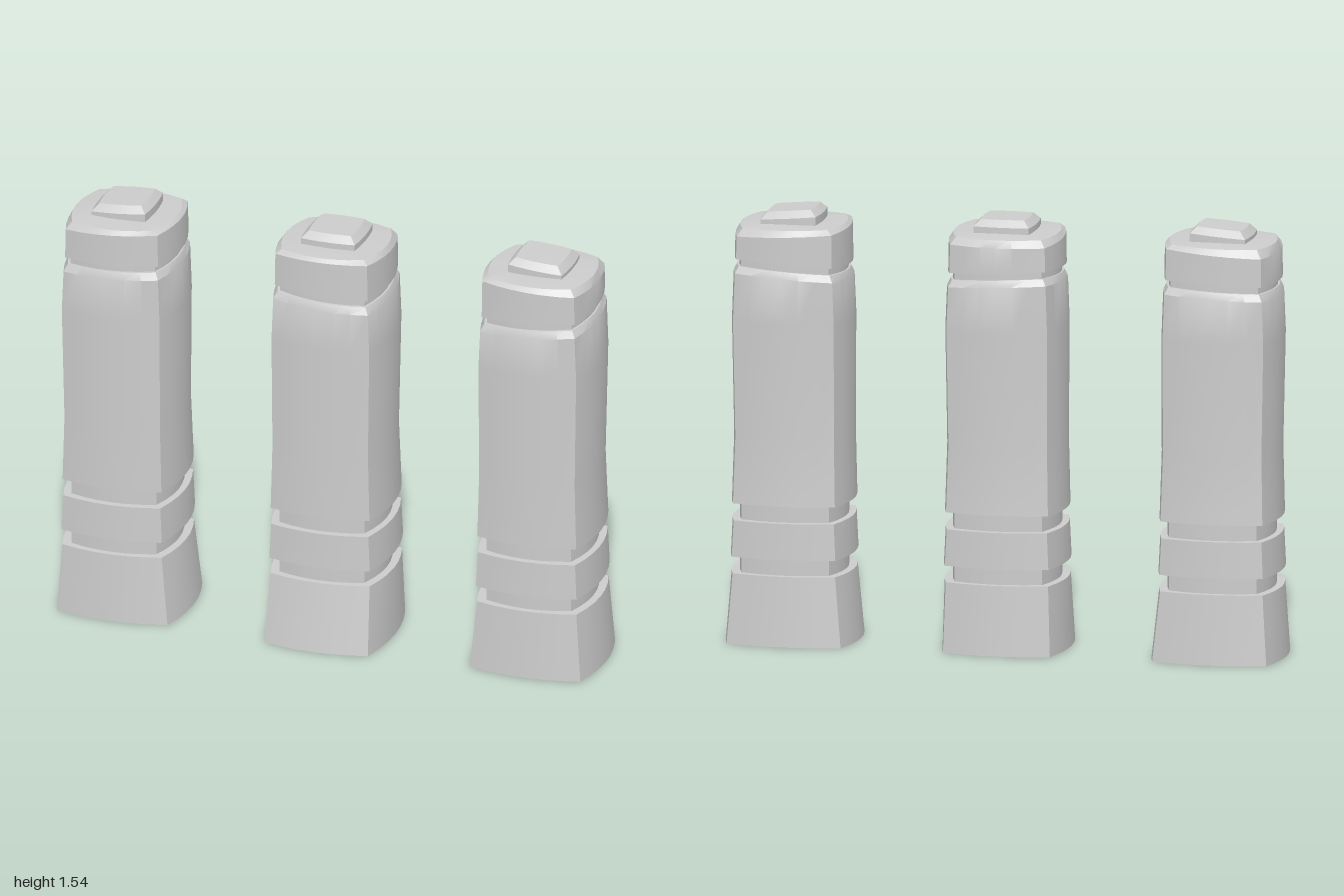
import * as THREE from 'three';
import { toCreasedNormals } from 'three/addons/utils/BufferGeometryUtils.js';

const stone = new THREE.MeshStandardMaterial({ color: 0xcccccc });
stone.name = 'grey stone';
const SEG = 6;
const BOW = 0.03;

// Ring of points: a square with half sizes w and d whose sides bow outwards, tilted by slopes in x and z
function section(y, cx, cz, w, d, bow = BOW, [slopeX, slopeZ] = [0, 0]) {
  const pts = [];
  for (let side = 0; side < 4; side++) {
    for (let i = 0; i < SEG; i++) {
      const t = 2 * i / SEG - 1, out = bow * (1 - t * t);
      const u = side % 2 ? -t * (w - bow) : w - bow + out;
      const v = side % 2 ? d - bow + out : t * (d - bow);
      const flip = side < 2 ? 1 : -1;
      const x = flip * u, z = flip * v;
      pts.push(new THREE.Vector3(cx + x, y + slopeX * x + slopeZ * z, cz + z));
    }
  }
  return pts;
}

// Closed solid through a stack of sections
function loft(name, rings) {
  const n = rings[0].length, points = rings.flat(), idx = [];
  for (let r = 0; r < rings.length - 1; r++) {
    for (let i = 0; i < n; i++) {
      const a = r * n + i, b = r * n + (i + 1) % n;
      idx.push(a, a + n, b, b, a + n, b + n);
    }
  }
  const last = (rings.length - 1) * n;
  for (let i = 1; i < n - 1; i++) {
    idx.push(0, i, i + 1, last, last + i + 1, last + i);
  }
  const g = new THREE.BufferGeometry().setFromPoints(points);
  g.setIndex(idx);
  const mesh = new THREE.Mesh(toCreasedNormals(g, 0.45), stone);
  mesh.name = name;
  return mesh;
}

// x: centre, lean: drift of the upper half, foot: foot half width, front: forward push of the foot,
// neck, rim and knob: slopes of the hewn edges in x and z
const pillars = [
  { name: 'rightPillar', x: -0.765, lean: -0.01, foot: 0.235, front: 0, neck: [0.04, 0], rim: [0.07, 0.02], knob: [0.08, 0] },
  { name: 'middlePillar', x: 0, lean: 0.002, foot: 0.222, front: 0.014, neck: [-0.05, -0.05], rim: [0, 0.05], knob: [0, 0] },
  { name: 'leftPillar', x: 0.765, lean: 0.004, foot: 0.235, front: 0, neck: [0.06, -0.04], rim: [-0.05, 0.02], knob: [-0.08, 0] },
];

function buildPillar({ name, x, lean, foot, front, neck, rim, knob }) {
  const group = new THREE.Group();
  group.name = name;
  const top = x + lean;
  // Section on the pillar's own axis, slightly behind z = 0
  const ring = (y, w, d, bow, slope) => section(y, y < 0.6 ? x + lean / 2 : top, -0.013, w, d, bow, slope);
  group.add(
    loft('foot', [section(0, x, front - 0.014, foot, 0.221 + front), ring(0.25, 0.214, 0.208)]),
    loft('band', [ring(0.31, 0.216, 0.213), ring(0.44, 0.21, 0.21)]),
    // The shaft swells and narrows a little on its way up
    loft('shaft', [
      ring(0.5, 0.213, 0.207), section(0.74, x + lean / 2, -0.008, 0.207, 0.2),
      ring(1.15, 0.211, 0.207), ring(1.305, 0.205, 0.206, BOW, neck), ring(1.33, 0.193, 0.195, BOW, neck),
    ]),
    // Bevelled cap with a nearly flat top
    loft('cap', [
      ring(1.355, 0.202, 0.198, BOW, neck), ring(1.465, 0.2, 0.197, BOW, rim),
      ring(1.485, 0.187, 0.185, 0.035, rim.map(s => s / 3)), ring(1.492, 0.11, 0.11, 0.02),
    ]),
    loft('knob', [
      section(1.475, top, -0.018, 0.107, 0.107, 0.008),
      section(1.513, top, -0.018, 0.107, 0.107, 0.008, knob),
      section(1.537, top, -0.018, 0.083, 0.083, 0.006, knob),
    ]),
  );
  // Recessed cores that show in the grooves between the blocks
  [['lowerGroove', 0.24, 0.32], ['upperGroove', 0.43, 0.51], ['neck', 1.28, 1.38]].forEach(([part, y0, y1]) => {
    group.add(loft(part, [ring(y0, 0.187, 0.185), ring(y1, 0.187, 0.185)]));
  });
  return group;
}

export function createModel() {
  const model = new THREE.Group();
  model.name = 'stonePillars';
  pillars.forEach(p => model.add(buildPillar(p)));
  return model;
}
